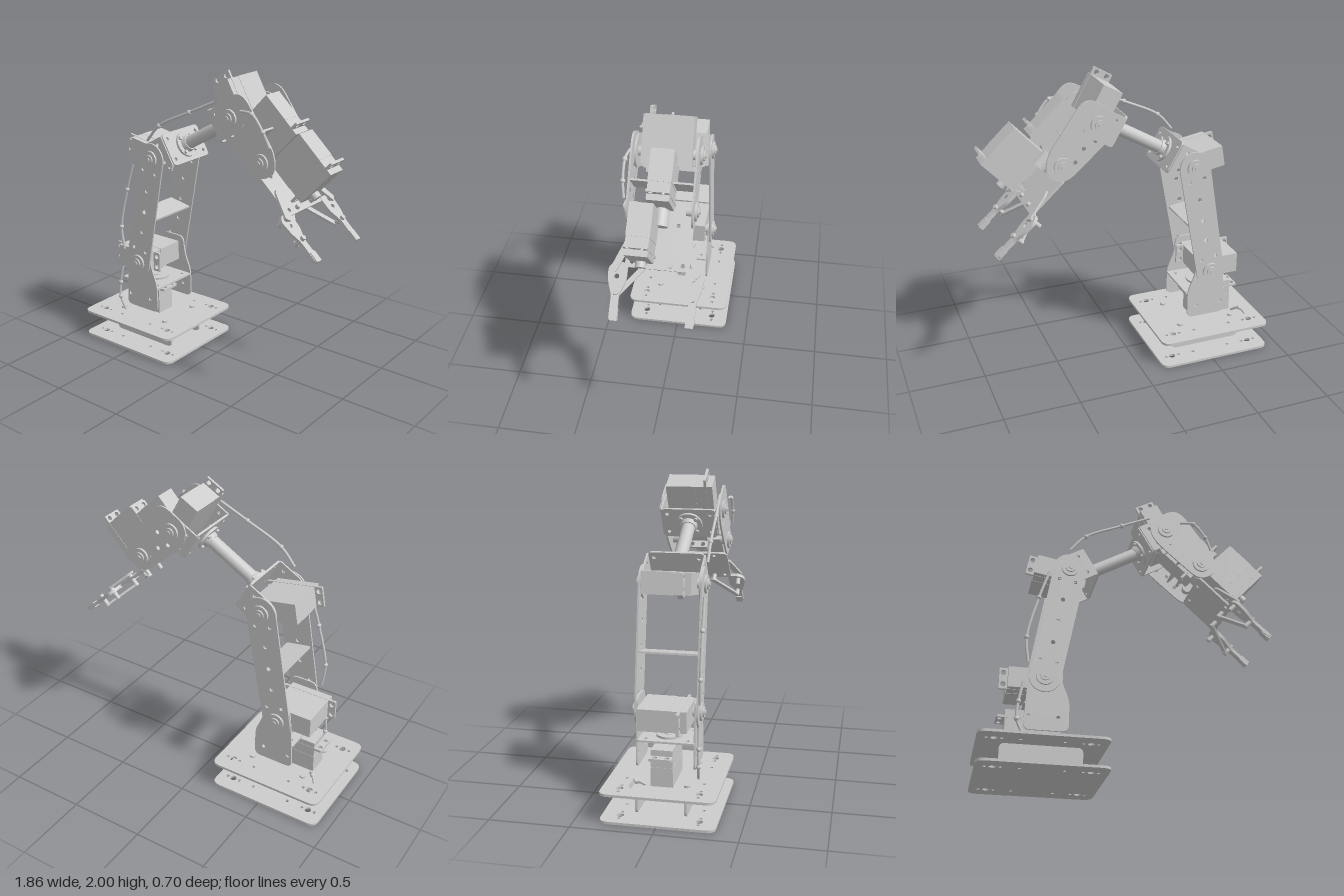
import * as THREE from 'three';

const grey = new THREE.MeshStandardMaterial({ color: 0xcccccc });

function mesh(parent, name, geo, x = 0, y = 0, z = 0) {
  const m = new THREE.Mesh(geo, grey);
  m.name = name;
  m.position.set(x, y, z);
  parent.add(m);
  return m;
}
function frame(parent, name, x, y, z = 0, angle = 0) {
  const g = new THREE.Group();
  g.name = name;
  g.position.set(x, y, z);
  g.rotation.z = angle;
  parent.add(g);
  return g;
}
const box = (p, n, w, h, d, x, y, z) => mesh(p, n, new THREE.BoxGeometry(w, h, d), x, y, z);

// cylinder along 'x', 'y' or 'z'
function rod(p, n, r, len, axis, x, y, z, r2 = r) {
  const g = new THREE.CylinderGeometry(r2, r, len, 28);
  if (axis === 'x') g.rotateZ(-Math.PI / 2);
  if (axis === 'z') g.rotateX(Math.PI / 2);
  return mesh(p, n, g, x, y, z);
}
// polygon with rounded corners
function roundPoly(pts, r) {
  const s = new THREE.Shape(), v = pts.map(p => new THREE.Vector2(...p)), n = v.length;
  v.forEach((c, i) => {
    const toward = q => c.clone().add(q.clone().sub(c).setLength(Math.min(r, q.distanceTo(c) / 2)));
    const a = toward(v[(i + n - 1) % n]), b = toward(v[(i + 1) % n]);
    if (i) s.lineTo(a.x, a.y); else s.moveTo(a.x, a.y);
    s.quadraticCurveTo(c.x, c.y, b.x, b.y);
  });
  s.closePath();
  return s;
}
const rect = (x0, y0, x1, y1, r) => roundPoly([[x0, y0], [x1, y0], [x1, y1], [x0, y1]], r);

// extruded sheet, centred on its thickness; holes are [x, y, radius]
function sheet(shape, t, holes = []) {
  for (const [x, y, r] of holes) shape.holes.push(new THREE.Path().absarc(x, y, r, 0, Math.PI * 2, true));
  return new THREE.ExtrudeGeometry(shape, { depth: t, bevelEnabled: false, curveSegments: 10 }).translate(0, 0, -t / 2);
}
// the same sheet on both sides of the arm
function pair(p, n, geo, z) {
  for (const s of [-1, 1]) mesh(p, n, geo, 0, 0, s * z);
}
// servo motor: output shaft on local +z through the origin
function servo(p, name, x, y, z = 0, angle = 0) {
  const g = frame(p, name, x, y, z, angle);
  box(g, 'servoBody', 0.29, 0.136, 0.19, -0.075, 0, -0.055);
  box(g, 'servoCase', 0.286, 0.132, 0.11, -0.075, 0, 0.095);
  const holes = [-0.245, 0.095].flatMap(a => [[a, 0.037, 0.016], [a, -0.037, 0.016]]);
  mesh(g, 'servoTabs', sheet(rect(-0.27, -0.068, 0.12, 0.068, 0.008), 0.016, holes), 0, 0, 0.105);
  rod(g, 'servoShaft', 0.03, 0.04, 'z', 0, 0, 0.165);
  return g;
}
// round hubs on both outer faces of a joint
function hubs(p, x, y) {
  for (const s of [-1, 1]) {
    rod(p, 'jointHub', 0.056, 0.014, 'z', x, y, s * 0.203);
    rod(p, 'jointHubCap', 0.032, 0.014, 'z', x, y, s * 0.213);
    rod(p, 'jointScrew', 0.014, 0.012, 'z', x, y, s * 0.221);
    rod(p, 'jointPin', 0.03, 0.05, 'z', x, y, s * 0.17);
  }
}

export function createModel() {
  const root = new THREE.Group();
  root.name = 'robotArm';

  // base plates, spacer walls and screws
  const holes = [];
  for (const z of [-0.24, 0.24])
    for (const [x, r] of [[0.33, 0.011], [0.285, 0.022], [0.24, 0.011], [0.13, 0.011]])
      holes.push([-0.53 + x, z, r], [-0.53 - x, z, r]);
  for (const y of [0.009, 0.182]) {
    const g = sheet(rect(-0.92, -0.35, -0.14, 0.35, 0.06), 0.016, holes);
    mesh(root, 'basePlate', g.rotateX(Math.PI / 2), 0, y, 0);
  }
  pair(root, 'baseWall', sheet(rect(-0.78, 0.017, -0.28, 0.175, 0.035), 0.014), 0.15);
  for (const x of [-0.72, -0.34]) for (const z of [-0.15, 0.15]) rod(root, 'baseScrew', 0.02, 0.014, 'y', x, 0.196, z);

  // turning servo with its plate
  servo(root, 'baseServo', -0.53, 0.27).rotation.x = -Math.PI / 2;
  rod(root, 'turnHorn', 0.08, 0.014, 'y', -0.53, 0.444, 0);

  // shoulder bracket
  const A = [-0.53, 0.6], B = [-0.395, 1.36], C = [0.245, 1.73], D = [0.48, 1.495];
  pair(root, 'shoulderBracket', sheet(roundPoly([[-0.65, 0.26], [-0.375, 0.26], [-0.375, 0.46],
    [-0.425, 0.58], [-0.44, 0.7], [-0.62, 0.7], [-0.635, 0.52]], 0.045), 0.011, [[-0.62, 0.345, 0.012], [-0.44, 0.345, 0.012]]), 0.178);
  const floor = sheet(rect(-0.65, -0.18, -0.375, 0.18, 0.01), 0.012, [[-0.61, 0.13, 0.012], [-0.61, -0.13, 0.012], [-0.42, 0.13, 0.012], [-0.42, -0.13, 0.012]]);
  mesh(root, 'shoulderFloor', floor.rotateX(Math.PI / 2), 0, 0.43, 0);
  servo(root, 'shoulderServo', ...A);
  hubs(root, ...A);

  // lower arm, local +x running from shoulder to elbow
  const lean = Math.atan2(B[1] - A[1], B[0] - A[0]), len = Math.hypot(B[1] - A[1], B[0] - A[0]);
  const lower = frame(root, 'lowerArm', ...A, 0, lean);
  const arm = new THREE.Shape();
  arm.absarc(0, 0, 0.098, Math.PI / 2, Math.PI * 1.5, false);
  arm.absarc(len, 0, 0.105, -Math.PI / 2, Math.PI / 2, false);
  arm.closePath();
  const armHoles = [0.235, 0.385, 0.54].map(x => [x, 0, 0.014]);
  for (const x of [0.1, len - 0.09]) armHoles.push([x, 0.052, 0.012], [x, -0.052, 0.012]);
  pair(lower, 'lowerArmPlate', sheet(arm, 0.011, armHoles), 0.19);
  box(lower, 'lowerArmBrace', 0.012, 0.17, 0.37, 0.35, 0, 0);
  servo(root, 'elbowServo', ...B, 0, lean - Math.PI / 2);
  hubs(root, ...B);

  // upper arm: U bracket and flange at each end of a tube
  const span = Math.hypot(C[0] - B[0], C[1] - B[1]);
  const upper = frame(root, 'upperArm', ...B, 0, Math.atan2(C[1] - B[1], C[0] - B[0]));
  for (const s of [1, -1]) {
    const end = frame(upper, 'upperArmEnd', s > 0 ? 0 : span, 0, 0, s > 0 ? 0 : Math.PI);
    const u = new THREE.Shape();
    u.absarc(0, 0, 0.1, Math.PI / 2, Math.PI * 1.5, false);
    u.lineTo(0.15, -0.1);
    u.lineTo(0.15, 0.1);
    u.closePath();
    pair(end, 'endBracketSide', sheet(u, 0.011, [[0.095, 0.06, 0.012], [0.095, -0.06, 0.012]]), 0.178);
    const cap = sheet(rect(-0.175, -0.11, 0.175, 0.11, 0.03), 0.013, [[-0.14, 0.07, 0.012], [0.14, 0.07, 0.012], [-0.14, -0.07, 0.012], [0.14, -0.07, 0.012]]);
    mesh(end, 'endBracketCap', cap.rotateY(Math.PI / 2), 0.152, 0, 0);
    rod(end, 'tubeFlange', 0.085, 0.016, 'x', 0.168, 0, 0);
    rod(end, 'tubeCollar', 0.056, 0.03, 'x', 0.19, 0, 0, 0.048);
    for (let i = 0; i < 4; i++) {
      const a = Math.PI / 4 + i * Math.PI / 2;
      rod(end, 'flangeScrew', 0.012, 0.016, 'x', 0.182, 0.068 * Math.cos(a), 0.068 * Math.sin(a));
    }
  }
  rod(upper, 'armTube', 0.042, span - 0.32, 'x', span / 2, 0, 0);

  // wrist bracket between the two upper joints
  pair(root, 'wristBracket', sheet(roundPoly([[0.14, 1.69], [0.14, 1.8], [0.29, 1.89], [0.36, 1.87],
    [0.575, 1.565], [0.585, 1.45], [0.51, 1.395], [0.44, 1.4], [0.2, 1.61]], 0.06), 0.011,
  [[0.345, 1.7, 0.013], [0.345, 1.59, 0.013], [0.27, 1.63, 0.013], [0.4, 1.51, 0.013], [0.48, 1.61, 0.013]]), 0.19);
  servo(root, 'wristServo', ...C, 0, -1.06);
  hubs(root, ...C);
  hubs(root, ...D);

  // hand frame: local x along the gripper, y away from its base plate
  const hand = frame(root, 'hand', 0.46, 1.4, 0, -0.75);
  const V = (x, y, z) => new THREE.Vector3(x, y, z);
  const turned = (name, x, y, X, Y, Z) => servo(hand, name, x, y)
    .setRotationFromMatrix(new THREE.Matrix4().makeBasis(X, Y, Z));
  turned('rotateServo', -0.2, 0.1, V(0, -1, 0), V(0, 0, -1), V(1, 0, 0));
  box(hand, 'wristBrace', 0.012, 0.19, 0.37, -0.18, 0.125, 0);
  rod(hand, 'rotateHorn', 0.05, 0.1, 'x', 0.01, 0.1, 0);
  turned('gripServo', 0.13, 0.17, V(0, 0, 1), V(1, 0, 0), V(0, -1, 0));
  hand.children[hand.children.length - 1].position.z = 0.075;

  // gripper base plate
  const palm = sheet(rect(0, -0.19, 0.3, 0.19, 0.03), 0.014, [[0.265, 0.15, 0.013], [0.265, -0.15, 0.013], [0.03, 0.1, 0.012], [0.03, -0.1, 0.012]]);
  mesh(hand, 'gripperPlate', palm.rotateX(Math.PI / 2), 0, 0.005, 0);

  // mirrored fingers with their links
  for (const s of [-1, 1]) {
    const flat = pts => pts.map(([x, z]) => [x, s * z]);
    const finger = roundPoly(flat([[0.275, 0.17], [0.275, 0.25], [0.31, 0.285], [0.4, 0.275], [0.47, 0.25],
      [0.62, 0.25], [0.62, 0.2], [0.47, 0.205], [0.38, 0.17]]), 0.025);
    mesh(hand, 'finger', sheet(finger, 0.022, [[0.36, s * 0.228, 0.014], [0.46, s * 0.228, 0.012]]).rotateX(Math.PI / 2), 0, 0.005, 0);
    box(hand, 'fingerPad', 0.07, 0.034, 0.045, 0.585, 0.005, s * 0.222);
    const links = [[[0.12, 0.17], [0.15, 0.2], [0.31, 0.265], [0.34, 0.235], [0.15, 0.15]],
      [[0.27, 0.05], [0.25, 0.075], [0.45, 0.235], [0.48, 0.22]]];
    links.forEach((pts, i) => mesh(hand, 'fingerLink', sheet(roundPoly(flat(pts), 0.012), 0.014).rotateX(Math.PI / 2), 0, i ? -0.045 : 0.035, 0));
    for (const [x, z] of [[0.31, 0.24], [0.27, 0.075], [0.455, 0.222]]) rod(hand, 'fingerPin', 0.015, 0.09, 'y', x, -0.01, s * z);
  }

  // cables with ties at their bends
  const cables = [
    [[-0.66, 0.55, 0.21], [-0.685, 0.42, 0.212], [-0.69, 0.31, 0.212], [-0.65, 0.22, 0.205]],
    [[-0.53, 1.31, 0.215], [-0.59, 1.12, 0.215], [-0.655, 0.84, 0.215], [-0.64, 0.68, 0.21]],
    [[-0.4, 1.49, 0.21], [-0.3, 1.6, 0.21], [-0.06, 1.72, 0.2], [0.13, 1.81, 0.19]],
    [[0.34, 1.79, 0.21], [0.43, 1.785, 0.22], [0.51, 1.69, 0.22], [0.55, 1.6, 0.21]],
    [[-0.82, 0.2, -0.18], [-0.79, 0.235, -0.15], [-0.75, 0.2, -0.1]],
  ];
  for (const pts of cables) {
    const path = new THREE.CatmullRomCurve3(pts.map(p => V(...p)));
    mesh(root, 'cable', new THREE.TubeGeometry(path, 32, 0.009, 8));
    for (const p of pts.slice(1, -1)) mesh(root, 'cableTie', new THREE.SphereGeometry(0.016, 12, 8), ...p);
  }
  return root;
}
